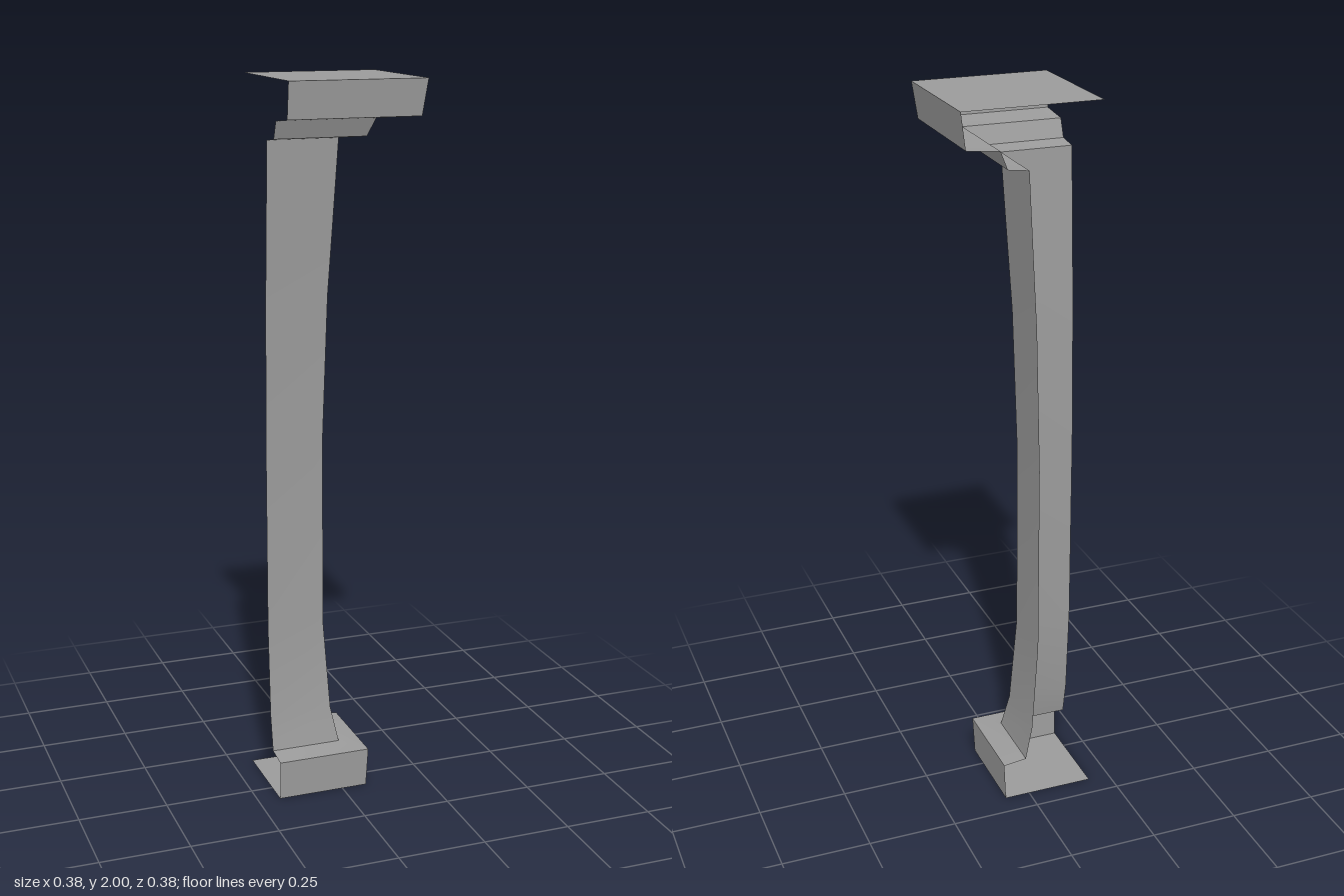
import * as THREE from 'three';
import { toCreasedNormals } from 'three/addons/utils/BufferGeometryUtils.js';

const BACK = -0.188; // open rear edges of the corner pilaster
const material = new THREE.MeshStandardMaterial({ color: 0x9b9b9b, side: THREE.DoubleSide });

// Profiles run upward as [face offset, height]
const BASE = [[0.072, 0], [0.077, 0.112], [0.011, 0.12]];
const SHAFT = [[0.011, 0.12], [-0.008, 0.22], [-0.024, 0.48], [-0.024, 1.02],
  [-0.013, 1.42], [-0.003, 1.6], [0.01, 1.84]];
const CAPITAL = [[0.01, 1.84], [0.067, 1.847], [0.086, 1.895], [0.176, 1.904], [0.188, 2]];

// Sweep a profile around the mitred front corner: one front face, one side face
function cornerShell(name, profile) {
  const positions = [];
  const row = ([f, y]) => [[BACK, y, f], [f, y, f], [f, y, BACK]];
  for (let i = 0; i < profile.length - 1; i++) {
    const lo = row(profile[i]), hi = row(profile[i + 1]);
    for (let k = 0; k < 2; k++) {
      for (const p of [lo[k], lo[k + 1], hi[k + 1], lo[k], hi[k + 1], hi[k]]) positions.push(...p);
    }
  }
  const geometry = new THREE.BufferGeometry();
  geometry.setAttribute('position', new THREE.Float32BufferAttribute(positions, 3));
  // Smooth along the gentle shaft curve, sharp at corners and ledges
  const mesh = new THREE.Mesh(toCreasedNormals(geometry, 0.5), material);
  mesh.name = name;
  return mesh;
}

// Flat square closing the top or bottom
function cap(name, [f, y], facing) {
  const geometry = new THREE.PlaneGeometry(f - BACK, f - BACK);
  geometry.rotateX(-facing * Math.PI / 2);
  const mesh = new THREE.Mesh(geometry, material);
  mesh.position.set((f + BACK) / 2, y, (f + BACK) / 2);
  mesh.name = name;
  return mesh;
}

export function createModel() {
  const group = new THREE.Group();
  group.name = 'cornerPilaster';
  group.add(
    cornerShell('base', BASE),
    cornerShell('shaft', SHAFT),
    cornerShell('capital', CAPITAL),
    cap('baseBottom', BASE[0], -1),
    cap('capitalTop', CAPITAL[CAPITAL.length - 1], 1),
  );
  return group;
}
